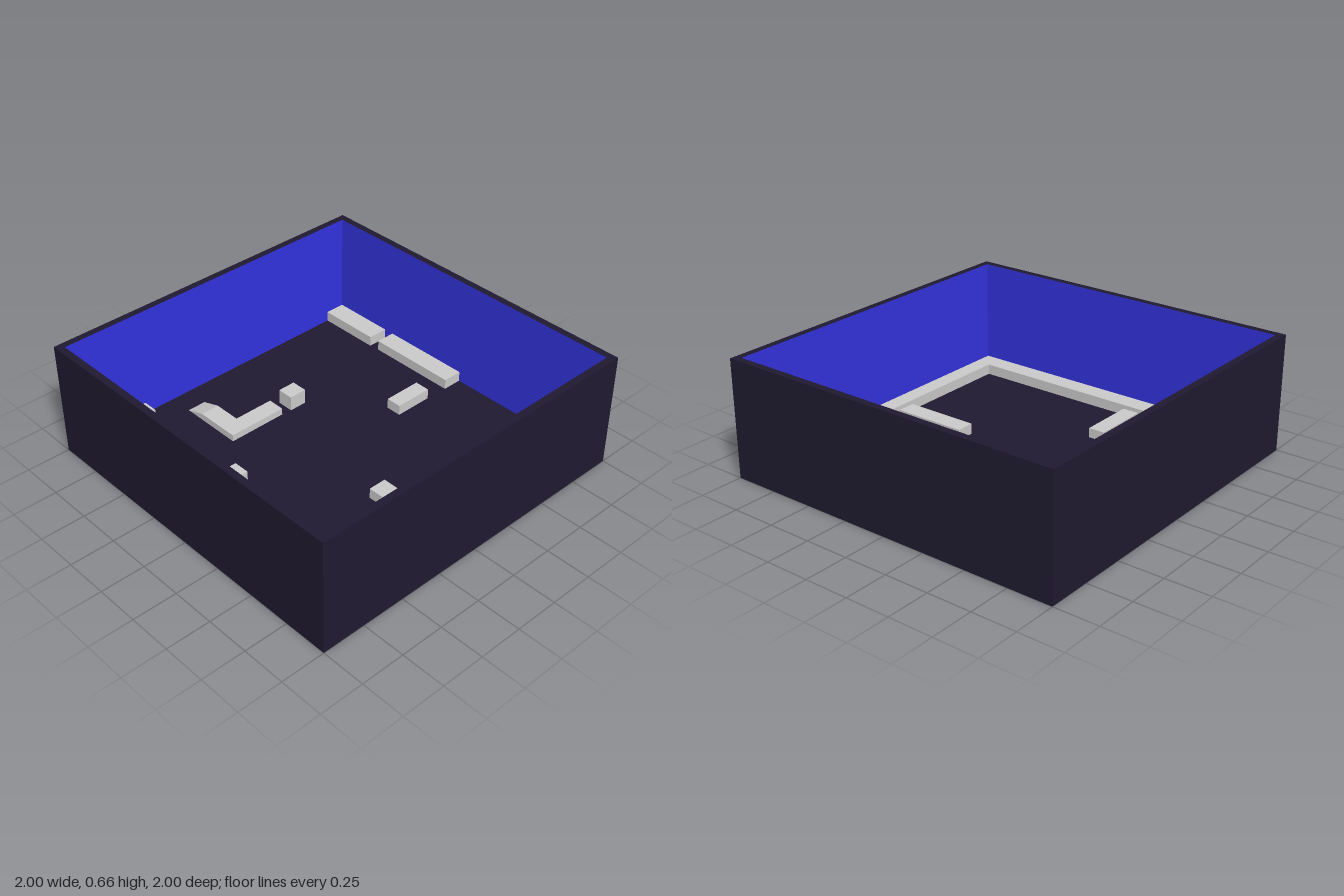
import * as THREE from 'three';

const FLOOR = 0.018, HEIGHT = 0.66, WALL = 0.04;

export function createModel() {
  const model = new THREE.Group();
  model.name = 'openTray';
  const dark = new THREE.MeshStandardMaterial({ color: 0x1f1a30 });
  const blue = new THREE.MeshStandardMaterial({ color: 0x3333e0 });
  const grey = new THREE.MeshStandardMaterial({ color: 0xcccccc });

  const add = (name, geometry, material, parent = model) => {
    const mesh = new THREE.Mesh(geometry, material);
    mesh.name = name;
    parent.add(mesh);
    return mesh;
  };

  // Floor slab
  const inner = 2 - 2 * WALL;
  add('floor', new THREE.BoxGeometry(inner, FLOOR, inner), dark).position.y = FLOOR / 2;

  // Four walls, dark outside and blue on the face toward the middle
  ['frontWall', 'leftWall', 'backWall', 'rightWall'].forEach((name, i) => {
    const side = new THREE.Group();
    side.name = name;
    side.rotation.y = i * Math.PI / 2;
    const panel = add(name + 'Panel', new THREE.BoxGeometry(2 - WALL, HEIGHT, WALL),
      [dark, dark, dark, dark, dark, blue], side);
    panel.position.set(WALL / 2, HEIGHT / 2, 1 - WALL / 2);
    model.add(side);
  });

  // Flat-topped block standing on the floor
  const block = (name, x0, x1, z0, z1, top = 0.078) => {
    const mesh = add(name, new THREE.BoxGeometry(x1 - x0, top - FLOOR, z1 - z0), grey);
    mesh.position.set((x0 + x1) / 2, (top + FLOOR) / 2, (z0 + z1) / 2);
  };

  // Block whose top rises from the floor at z0 to full height at zTop
  const ramp = (name, x0, x1, z0, zTop, z1, top = 0.078) => {
    const points = [[z0, FLOOR], [z1, FLOOR], [z1, top]];
    if (zTop < z1) points.push([zTop, top]);
    const shape = new THREE.Shape(points.map(([z, y]) => new THREE.Vector2(z, y)));
    const geometry = new THREE.ExtrudeGeometry(shape, { depth: x1 - x0, bevelEnabled: false });
    geometry.rotateY(-Math.PI / 2).translate(x1, 0, 0);
    add(name, geometry, grey);
  };

  // Ledges along the walls
  block('rightLedge', -0.955, -0.845, -0.96, 0.955);
  block('frontLedge', -0.845, 0.96, 0.86, 0.955);
  ramp('cornerRamp', 0.84, 0.96, 0.58, 0.86, 0.86);
  block('leftBackLedge', 0.84, 0.96, -0.96, -0.59);
  block('leftMiddleLedge', 0.845, 0.96, -0.53, 0.005);

  // L-shaped obstacle with a sloping end
  ramp('angledObstacleArm', -0.33, -0.22, -0.82, -0.70, -0.44, 0.058);
  block('angledObstacleFoot', -0.22, 0.02, -0.54, -0.44, 0.058);

  // Free-standing blocks
  block('backBlock', -0.755, -0.515, -0.96, -0.87, 0.087);
  block('smallCube', 0.08, 0.185, -0.53, -0.435, 0.105);
  block('middleRightBlock', -0.81, -0.48, -0.235, -0.14, 0.073);
  block('middleLeftBlock', 0.485, 0.71, -0.09, 0.0);
  block('frontBlock', -0.12, -0.015, 0.39, 0.82);

  return model;
}
